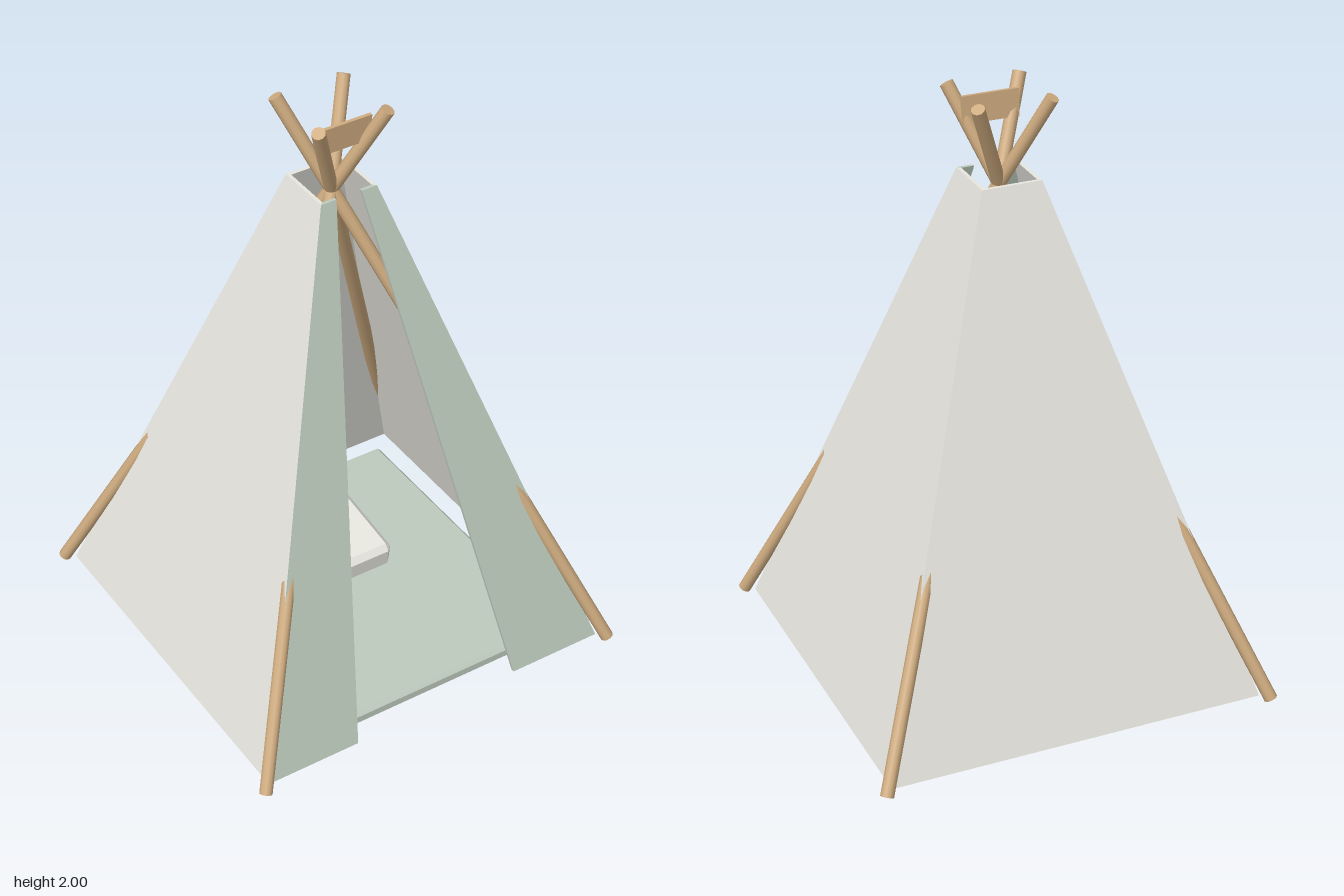
import * as THREE from 'three';
import { ConvexGeometry } from 'three/addons/geometries/ConvexGeometry.js';

const BASE = 0.64, TOP = 0.1, Y0 = 0.022, Y1 = 1.715, T = 0.012;

function material(name, color) {
  const m = new THREE.MeshStandardMaterial({ color });
  m.name = name;
  return m;
}

const v = (x, y, z) => new THREE.Vector3(x, y, z);

// Thin sloping cloth panel facing +z; a..b is the span at the base, c..d at the top
function panelGeometry(a, b, c, d) {
  const pts = [];
  const add = (x, y, half) => {
    pts.push(v(x, y, half));
    const inner = Math.min(Math.abs(x), half - T) * Math.sign(x);
    pts.push(v(inner, y, half - T));
  };
  add(a, Y0, BASE); add(b, Y0, BASE);
  add(c, Y1, TOP); add(d, Y1, TOP);
  return new ConvexGeometry(pts);
}

// Box with chamfered edges
function chamferBox(w, h, d, r) {
  const pts = [];
  for (const sx of [-1, 1]) for (const sy of [-1, 1]) for (const sz of [-1, 1]) {
    const x = sx * w / 2, y = sy * h / 2, z = sz * d / 2;
    pts.push(v(x, y - sy * r, z - sz * r));
    pts.push(v(x - sx * r, y, z - sz * r));
    pts.push(v(x - sx * r, y - sy * r, z));
  }
  return new ConvexGeometry(pts);
}

export function createModel() {
  const group = new THREE.Group();
  group.name = 'playTent';
  const canvas = material('cream canvas', 0xebeae3);
  const sage = material('sage cloth', 0xbdcabd);
  const wood = material('pale wood', 0xcfac80);

  const add = (name, geometry, mat) => {
    const mesh = new THREE.Mesh(geometry, mat);
    mesh.name = name;
    group.add(mesh);
    return mesh;
  };

  // Back and side walls
  const wall = panelGeometry(-BASE, BASE, -TOP, TOP);
  [['leftWall', 1], ['backWall', 2], ['rightWall', 3]].forEach(([name, turn]) => {
    add(name, wall, canvas).rotation.y = turn * Math.PI / 2;
  });

  // Front door flaps either side of the tapering opening
  add('leftFlap', panelGeometry(0.305, BASE, 0.045, TOP), sage);
  add('rightFlap', panelGeometry(-BASE, -0.305, -TOP, -0.045), sage);

  // Four poles crossing above the tent
  for (const sx of [-1, 1]) for (const sz of [-1, 1]) {
    const foot = v(sx * 0.668, 0.02, sz * 0.668);
    const tip = v(-sx * 0.122, 1.988, -sz * 0.122);
    const dir = tip.clone().sub(foot);
    const geo = new THREE.CylinderGeometry(0.022, 0.022, dir.length(), 10);
    const pole = add('pole', geo, wood);
    pole.position.copy(foot).add(tip).multiplyScalar(0.5);
    pole.quaternion.setFromUnitVectors(v(0, 1, 0), dir.normalize());
  }

  // Small blank board between the pole tips
  const board = add('board', new THREE.BoxGeometry(0.19, 0.09, 0.012), wood);
  board.position.set(0, 1.912, 0.069);
  board.rotation.x = 0.06;

  // Floor mat
  add('floorMat', chamferBox(1.11, 0.048, 1.11, 0.012), sage).position.y = 0.024;

  // Cushion tilted gently forwards
  const cushion = add('cushion', chamferBox(0.5, 0.1, 0.32, 0.02), canvas);
  cushion.position.set(0, 0.102, -0.16);
  cushion.rotation.x = 0.14;

  return group;
}
